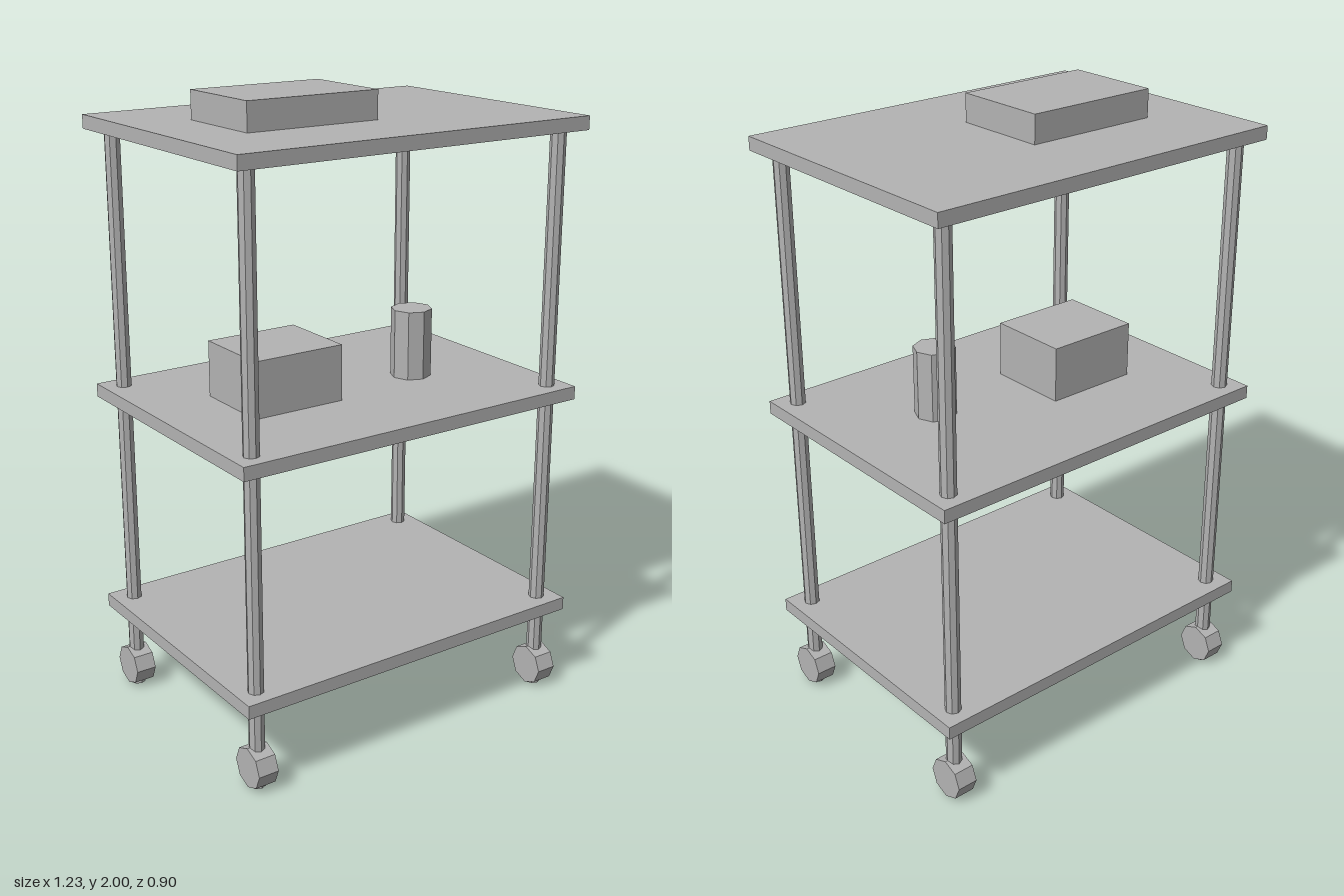
import * as THREE from 'three';

export function createModel() {
  const model = new THREE.Group();
  model.name = 'utilityCart';
  const grey = new THREE.MeshStandardMaterial({ color: 0xb3b3b3, flatShading: true });
  grey.name = 'plain grey';

  const add = (name, geometry, x, y, z) => {
    const mesh = new THREE.Mesh(geometry, grey);
    mesh.name = name;
    mesh.position.set(x, y, z);
    model.add(mesh);
    return mesh;
  };

  // Three shelves
  const shelf = new THREE.BoxGeometry(1.232, 0.043, 0.894);
  add('lowerShelf', shelf, 0, 0.297, 0);
  add('middleShelf', shelf, 0, 1.038, 0);
  add('topShelf', shelf, 0, 1.89, 0);

  // Corner posts, each running down through its caster wheel
  const post = new THREE.CylinderGeometry(0.025, 0.025, 1.88, 8);
  const wheel = new THREE.CylinderGeometry(0.066, 0.066, 0.068, 8).rotateZ(Math.PI / 2);
  for (const sx of [-1, 1]) {
    for (const sz of [-1, 1]) {
      const corner = (sz > 0 ? 'front' : 'back') + (sx > 0 ? 'Left' : 'Right');
      add(corner + 'Post', post, sx * 0.552, 0.94, sz * 0.383);
      add(corner + 'Wheel', wheel, sx * 0.552, 0.07, sz * 0.383);
    }
  }

  // Objects standing on the shelves
  add('topBox', new THREE.BoxGeometry(0.45, 0.089, 0.312), -0.181, 1.9555, 0);
  add('middleBox', new THREE.BoxGeometry(0.313, 0.18, 0.27), -0.226, 1.149, 0.001);
  add('canister', new THREE.CylinderGeometry(0.066, 0.066, 0.224, 8), 0.266, 1.171, 0.046);

  return model;
}
